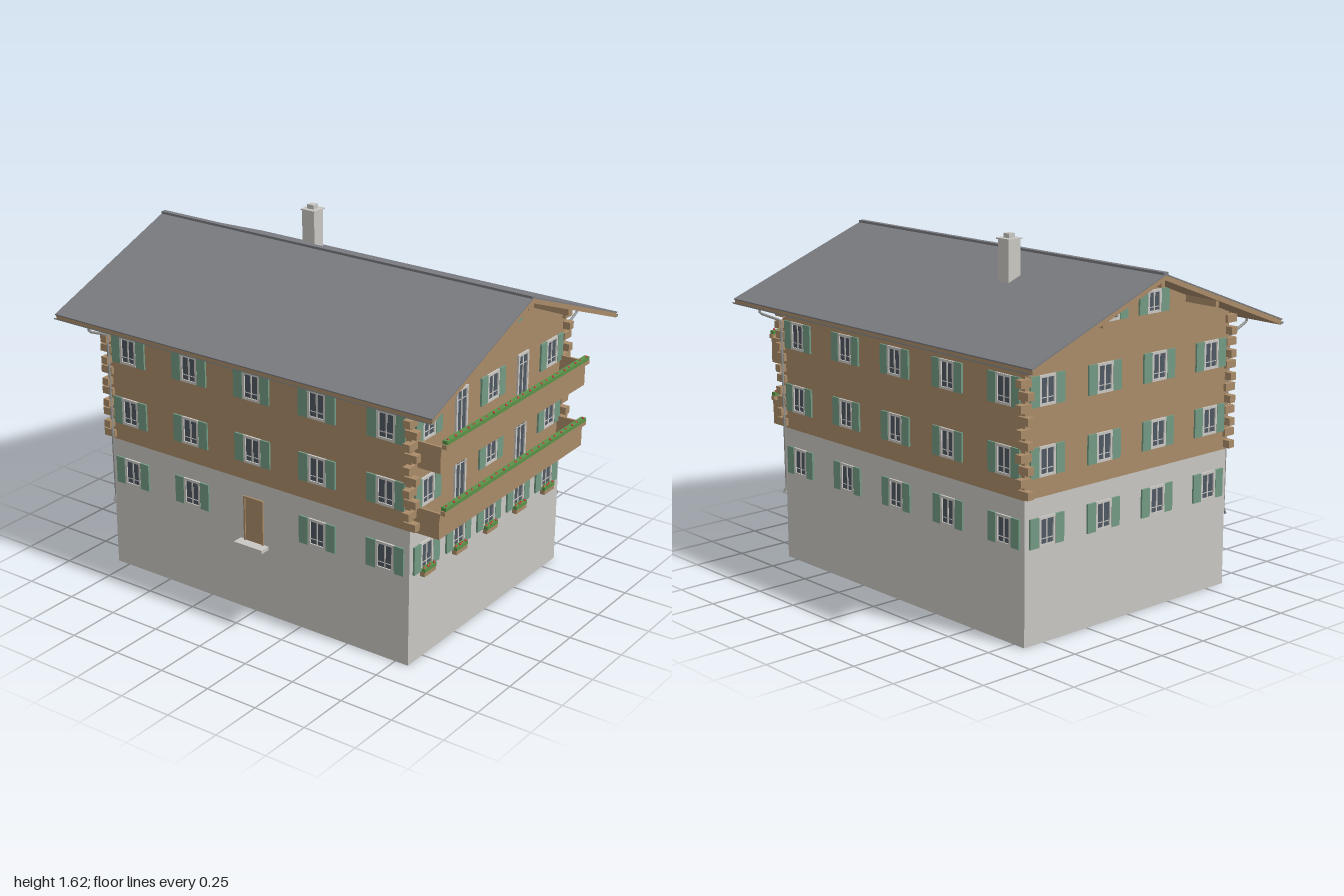
import * as THREE from 'three';

const mat = (name, color, side = THREE.FrontSide) => {
  const m = new THREE.MeshStandardMaterial({ color, side });
  m.name = name;
  return m;
};
const plaster = mat('plaster', 0xc9c7c2, THREE.DoubleSide);
const wood = mat('wood', 0xa98b69, THREE.DoubleSide);
const slate = mat('slate', 0x7b7c81);
const frameGrey = mat('frame grey', 0xcac8c3);
const glass = mat('glass', 0x4e5762);
const shutterGreen = mat('shutter green', 0x739a83);
const zinc = mat('zinc', 0x939391, THREE.DoubleSide);
const leaf = mat('leaf green', 0x5a9148);
const petal = mat('petal red', 0xc8323c);

const HX = 0.815, HZ = 0.61, BAND = 0.63, EAVE = 1.25;

function add(parent, name, geometry, material, x = 0, y = 0, z = 0) {
  const m = new THREE.Mesh(geometry, material);
  m.name = name;
  m.position.set(x, y, z);
  parent.add(m);
  return m;
}
const box = (parent, name, material, w, h, d, x, y, z) =>
  add(parent, name, new THREE.BoxGeometry(w, h, d), material, x, y, z);

function group(parent, name) {
  const g = new THREE.Group();
  g.name = name;
  parent.add(g);
  return g;
}

// Wall frames whose local +z points outwards
const SIDES = {
  front: [0, HZ], right: [Math.PI / 2, HX], back: [Math.PI, HZ], left: [-Math.PI / 2, HX],
};
function onWall(parent, side, name, u, y) {
  const [angle, dist] = SIDES[side];
  const pivot = group(parent, side + 'Wall' + name);
  pivot.rotation.y = angle;
  const g = group(pivot, name);
  g.position.set(u, y, dist);
  return g;
}

// Framed window with mullion, transom and optional shutters; origin at centre
function addWindow(parent, side, u, y, w, h, shutters = true) {
  const g = onWall(parent, side, 'Window', u, y);
  const t = 0.011;
  box(g, 'glass', glass, w - t, h - t, 0.022, 0, 0, -0.008);
  for (const s of [-1, 1]) {
    box(g, 'frameSide', frameGrey, t, h, 0.03, s * (w - t) / 2, 0, -0.006);
    box(g, 'frameRail', frameGrey, w - 2 * t, t, 0.03, 0, s * (h - t) / 2, -0.006);
    if (shutters) box(g, 'shutter', shutterGreen, 0.048, h, 0.009, s * (w / 2 + 0.025), 0, 0.005);
  }
  box(g, 'mullion', frameGrey, 0.007, h - 2 * t, 0.004, 0, 0, 0.004);
  box(g, 'transom', frameGrey, w - 2 * t, 0.003, 0.003, 0, shutters ? -h * 0.24 : h * 0.27, 0.004);
}

// Planter with greenery and a row of blossoms
function addPlanter(parent, w, x, y, z, count) {
  const g = group(parent, 'flowerBox');
  g.position.set(x, y, z);
  box(g, 'trough', wood, w, 0.02, 0.022, 0, 0, 0);
  box(g, 'foliage', leaf, w * 0.99, 0.017, 0.024, 0, 0.0175, 0);
  const blossom = new THREE.IcosahedronGeometry(0.006, 0);
  for (let i = 0; i < count; i++) {
    add(g, 'blossom', blossom, petal, ((i + 0.5) / count - 0.5) * w, 0.026 + 0.003 * (i % 2), i % 2 ? 0.007 : 0.002);
  }
}

// Cross-section in the z-y plane, swept along x
function sweepX(points, length) {
  const shape = new THREE.Shape(points.map(p => new THREE.Vector2(...p)));
  const g = new THREE.ExtrudeGeometry(shape, { depth: length, bevelEnabled: false });
  return g.translate(0, 0, -length / 2).rotateY(Math.PI / 2);
}

function addWalls(house) {
  for (const side of Object.keys(SIDES)) {
    const long = side === 'front' || side === 'back';
    const half = long ? HX : HZ;
    const wall = onWall(house, side, 'Shell', 0, 0);
    add(wall, 'plasterBase', new THREE.PlaneGeometry(half * 2, BAND), plaster, 0, BAND / 2, 0);
    const outline = [[-half, BAND], [half, BAND], [half, EAVE], [-half, EAVE]];
    if (!long) outline.splice(3, 0, [0, 1.485]);
    const shape = new THREE.Shape(outline.map(p => new THREE.Vector2(...p)));
    add(wall, 'timberUpper', new THREE.ShapeGeometry(shape), wood);
  }
}

function addLogEnds(house) {
  const logs = group(house, 'logEnds');
  for (const sx of [-1, 1]) for (const sz of [-1, 1]) for (let k = 0; k < 6; k++) {
    const y = 1.17 - k * 0.1025;
    box(logs, 'longLogEnd', wood, 0.06, 0.034, 0.034, sx * 0.82, y, sz * 0.608);
    box(logs, 'crossLogEnd', wood, 0.034, 0.034, 0.06, sx * 0.813, y + 0.051, sz * 0.615);
  }
}

function addOpenings(house) {
  const rows = [0.483, 0.78, 1.075];
  rows.forEach((y, row) => {
    for (const x of [-0.695, -0.345, 0, 0.345, 0.695]) {
      if (row > 0 || x !== 0) addWindow(house, 'front', x, y, 0.092, 0.128);
      addWindow(house, 'back', x, y, 0.092, 0.128);
    }
    for (const z of [-0.49, -0.163, 0.163, 0.49]) addWindow(house, 'left', z, y, 0.092, 0.128);
    for (const z of [-0.49, -0.245, 0, 0.245, 0.49]) {
      const balconyDoor = row > 0 && Math.abs(z) === 0.245;
      if (balconyDoor) addWindow(house, 'right', z, y - 0.035, 0.088, 0.22, false);
      else addWindow(house, 'right', z, y, 0.092, 0.128);
      if (row === 0) addPlanter(onWall(house, 'right', 'Planter', z, 0.406), 0.088, 0, 0, 0.015, 4);
    }
  });
  // Attic windows
  for (const side of ['left', 'right']) for (const z of [-0.125, 0.125]) {
    addWindow(house, side, z, 1.358, 0.082, 0.1);
  }
  // Entrance
  const door = onWall(house, 'front', 'Door', 0, 0.445);
  box(door, 'doorLeaf', wood, 0.098, 0.212, 0.024, 0, 0, -0.008);
  for (const s of [-1, 1]) box(door, 'doorPost', wood, 0.008, 0.212, 0.03, s * 0.049, 0, -0.006);
  box(door, 'doorLintel', wood, 0.106, 0.008, 0.03, 0, 0.104, -0.006);
  box(door, 'doorstep', plaster, 0.155, 0.016, 0.05, 0, -0.113, 0.025);
}

function addBalcony(house, y) {
  const b = onWall(house, 'right', 'Balcony', 0, y);
  box(b, 'balconyFloor', wood, 1.17, 0.014, 0.125, 0, 0.007, 0.0625);
  box(b, 'parapet', wood, 1.17, 0.095, 0.01, 0, 0.0475, 0.12);
  box(b, 'handrail', wood, 1.17, 0.022, 0.014, 0, 0.106, 0.12);
  for (const s of [-1, 1]) box(b, 'sideParapet', wood, 0.01, 0.117, 0.12, s * 0.58, 0.0585, 0.06);
  addPlanter(b, 1.16, 0, 0.119, 0.137, 24);
}

function addRoof(house) {
  const roof = group(house, 'roof');
  add(roof, 'roofDeck', sweepX([[0, 1.506], [-0.742, 1.222], [-0.742, 1.2], [0, 1.484], [0.742, 1.2], [0.742, 1.222]], 1.996), wood);
  add(roof, 'roofCovering', sweepX([[0, 1.512], [-0.747, 1.227], [-0.745, 1.221], [0, 1.506], [0.745, 1.221], [0.747, 1.227]], 2), slate);
  box(roof, 'ridgeCap', slate, 2, 0.014, 0.026, 0, 1.511, 0);
  for (const sx of [-1, 1]) {
    for (const [z, y] of [[0, 1.468], [-0.335, 1.345], [0.335, 1.345]]) {
      box(roof, 'purlin', wood, 0.19, 0.03, 0.02, sx * 0.89, y, z);
    }
  }
  // Gutters with one downpipe at opposite corners
  for (const s of [-1, 1]) {
    const trough = new THREE.CylinderGeometry(0.01, 0.01, 2, 10, 1, true, Math.PI, Math.PI).rotateZ(Math.PI / 2);
    add(roof, 'gutter', trough, zinc, 0, 1.212, s * 0.746);
    const path = new THREE.CurvePath();
    const pts = [[1.203, 0.746], [1.187, 0.744], [1.14, 0.635], [1.12, 0.63], [0.35, 0.622], [0.322, 0.637]]
      .map(([y, z]) => new THREE.Vector3(-s * 0.8, y, s * z));
    for (let i = 1; i < pts.length; i++) path.add(new THREE.LineCurve3(pts[i - 1], pts[i]));
    add(roof, 'downpipe', new THREE.TubeGeometry(path, 70, 0.006, 8), zinc);
  }
  // Chimney
  const c = group(roof, 'chimney');
  c.position.set(-0.295, 0, -0.22);
  box(c, 'chimneyShaft', plaster, 0.068, 0.22, 0.068, 0, 1.487, 0);
  box(c, 'chimneySlab', plaster, 0.08, 0.006, 0.08, 0, 1.6, 0);
  box(c, 'chimneyPot', plaster, 0.035, 0.022, 0.035, 0, 1.612, 0);
}

export function createModel() {
  const house = new THREE.Group();
  house.name = 'chalet';
  addWalls(house);
  addLogEnds(house);
  addOpenings(house);
  addBalcony(house, 0.62);
  addBalcony(house, 0.915);
  addRoof(house);
  return house;
}
